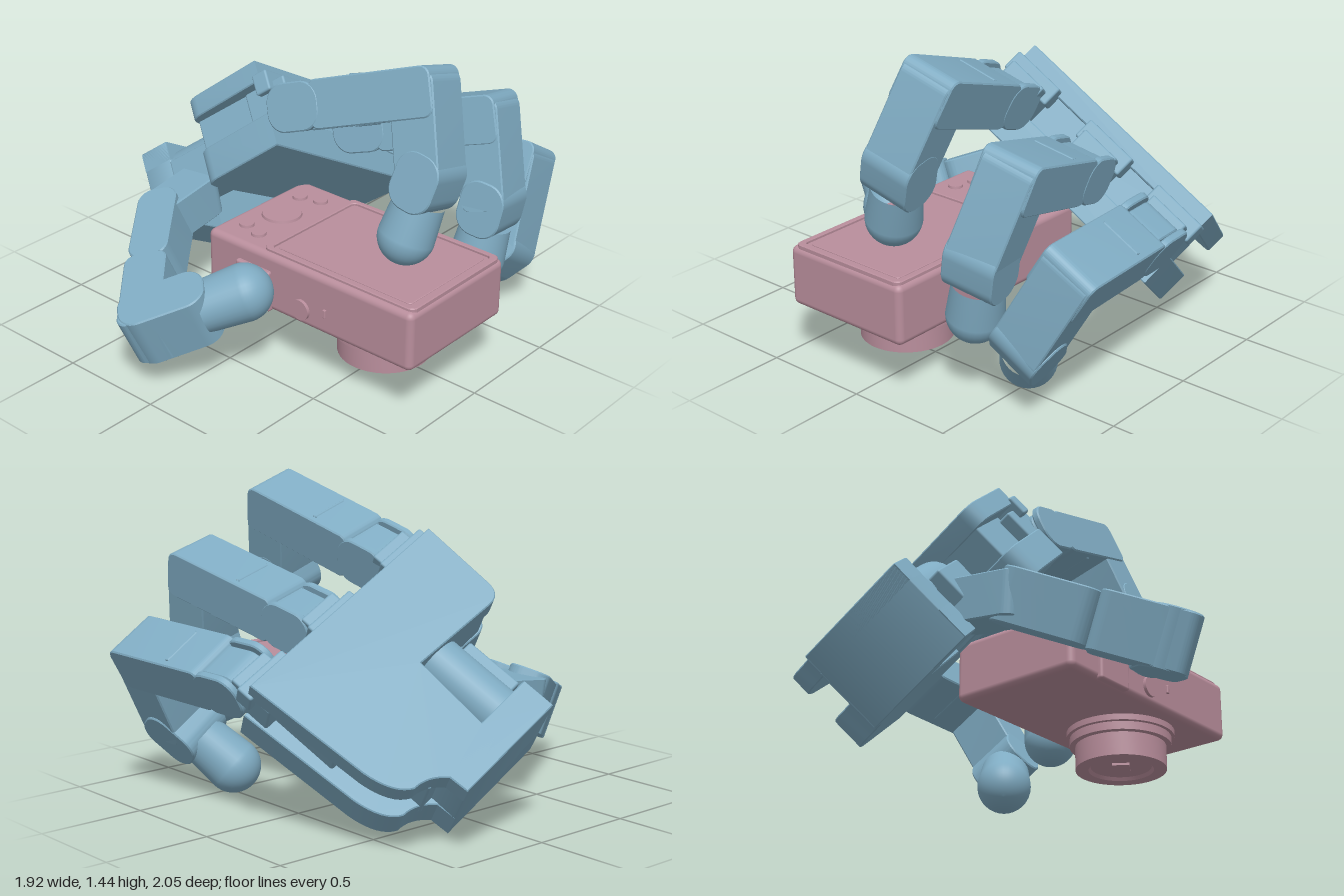
import * as THREE from 'three';
import { toCreasedNormals } from 'three/addons/utils/BufferGeometryUtils.js';
import { RoundedBoxGeometry } from 'three/addons/geometries/RoundedBoxGeometry.js';

const blue = new THREE.MeshStandardMaterial({ color: 0x7fabc2 });
const pink = new THREE.MeshStandardMaterial({ color: 0xb98e9c });
const V = (x, y, z) => new THREE.Vector3(x, y, z);

function add(parent, name, geometry, material, x = 0, y = 0, z = 0) {
  const mesh = new THREE.Mesh(geometry, material);
  mesh.name = name;
  mesh.position.set(x, y, z);
  parent.add(mesh);
  return mesh;
}

function extrude(shape, depth, bevel = 0.01) {
  const geo = new THREE.ExtrudeGeometry(shape, {
    depth: depth - 2 * bevel, bevelEnabled: true, bevelThickness: bevel,
    bevelSize: bevel, bevelOffset: -bevel, bevelSegments: 1, curveSegments: 8,
  });
  return toCreasedNormals(geo.translate(0, 0, bevel), 0.6);
}

function roundedRect(x0, x1, y0, y1, r) {
  const s = new THREE.Shape();
  s.moveTo(x0 + r, y0).lineTo(x1 - r, y0).absarc(x1 - r, y0 + r, r, -Math.PI / 2, 0);
  s.lineTo(x1, y1 - r).absarc(x1 - r, y1 - r, r, 0, Math.PI / 2);
  s.lineTo(x0 + r, y1).absarc(x0 + r, y1 - r, r, Math.PI / 2, Math.PI);
  s.lineTo(x0, y0 + r).absarc(x0 + r, y0 + r, r, Math.PI, Math.PI * 1.5);
  return s;
}

// Orients a mesh so local x runs from a to b and local z follows the hinge axis
function align(mesh, a, b, side) {
  const x = b.clone().sub(a).normalize();
  const z = side.clone().addScaledVector(x, -side.dot(x)).normalize();
  const y = z.clone().cross(x);
  mesh.quaternion.setFromRotationMatrix(new THREE.Matrix4().makeBasis(x, y, z));
  mesh.position.copy(a);
}

// Link between two joints, overrunning them by e0 and e1
function link(parent, name, a, b, side, width, thick, e0, e1, r) {
  const shape = roundedRect(-e0, a.distanceTo(b) + e1, -thick / 2, thick / 2, r);
  const geo = extrude(shape, width, 0.006).translate(0, 0, -width / 2);
  align(add(parent, name, geo, blue), a, b, side);
}

// Boxy shell over the joint, then a round pad emerging from it
function fingertip(parent, a, b, side, r, shell, width) {
  const start = a.clone().lerp(b, shell - 0.12);
  const len = start.distanceTo(b);
  const pts = [new THREE.Vector2(r * 0.9, 0)];
  for (let i = 0; i <= 12; i++) {
    const t = (i / 12) * Math.PI / 2;
    pts.push(new THREE.Vector2(r * Math.cos(t), len + r * Math.sin(t)));
  }
  const pad = new THREE.LatheGeometry(pts, 32).rotateZ(-Math.PI / 2);
  align(add(parent, 'fingertipPad', pad, blue), start, b, side);
  link(parent, 'distalLink', a, a.clone().lerp(b, shell), side, width, 0.215, 0.1, 0, 0.09);
}

function finger(parent, name, [k, p1, p2, tip]) {
  const g = new THREE.Group();
  g.name = name;
  parent.add(g);
  const side = p1.clone().sub(k).cross(tip.clone().sub(p1)).normalize();
  const at = t => k.clone().lerp(p1, t);
  // knuckle with two cheeks
  link(g, 'knuckleLink', k, at(0.3), side, 0.18, 0.18, 0.08, 0, 0.08);
  for (const s of [-1, 1]) {
    const off = side.clone().multiplyScalar(s * 0.115);
    link(g, 'knuckleCheek', k.clone().add(off), at(0.25).add(off), side, 0.035, 0.22, 0.09, 0.02, 0.09);
  }
  // long link with a narrow rib across its back
  link(g, 'proximalLink', at(0.2), p1, side, 0.26, 0.22, 0, 0.1, 0.045);
  link(g, 'backRib', at(0.53), at(0.55), side, 0.2, 0.23, 0, 0, 0.008);
  link(g, 'middleLink', p1, p2, side, 0.245, 0.215, 0.09, 0.05, 0.05);
  fingertip(g, p2, tip, side, 0.127, 0.55, 0.25);
}

function thumb(parent) {
  const g = new THREE.Group();
  g.name = 'thumb';
  parent.add(g);
  const root = V(-0.53, 0.52, 0.14), t0 = V(-0.52, 0.49, 0.37);
  const mid = V(-0.34, 0.39, 0.61), t1 = V(-0.12, 0.29, 0.87), tip = V(0.17, 0.44, 0.58);
  const side = t1.clone().sub(t0).cross(tip.clone().sub(t1)).normalize();
  link(g, 'thumbArm', root, t0, side, 0.2, 0.2, 0.06, 0.06, 0.05);
  link(g, 'thumbBaseLink', t0, mid, side, 0.24, 0.19, 0.07, 0.04, 0.07);
  link(g, 'thumbLongLink', mid, t1, side, 0.26, 0.2, -0.03, 0.1, 0.05);
  fingertip(g, t1, tip, side, 0.13, 0.68, 0.27);
}

// Palm frame: x across the knuckles, y toward the fingers, z from back to palm side
function palm(parent) {
  const g = new THREE.Group();
  g.name = 'palm';
  const across = V(0, -0.487, -0.874), forward = V(0.756, 0.572, -0.319);
  const depth = across.clone().cross(forward);
  g.quaternion.setFromRotationMatrix(new THREE.Matrix4().makeBasis(across, forward, depth));
  g.position.set(-0.96, 0.43, -0.15);
  parent.add(g);

  const plate = new THREE.Shape();
  plate.moveTo(-0.285, 0).lineTo(0.285, 0).lineTo(0.29, 0.09);
  plate.quadraticCurveTo(0.35, 0.16, 0.43, 0.16).quadraticCurveTo(0.51, 0.2, 0.53, 0.35);
  plate.lineTo(0.57, 0.94).lineTo(-0.57, 0.94).lineTo(-0.55, 0.57);
  plate.quadraticCurveTo(-0.54, 0.5, -0.47, 0.5);
  plate.lineTo(-0.03, 0.52).lineTo(0, 0.16).lineTo(-0.285, 0.16).closePath();
  add(g, 'backPlate', extrude(plate, 0.1, 0.005), blue);
  add(g, 'palmPlate', extrude(plate, 0.16, 0.005), blue, 0, 0, 0.26);

  const box = (name, w, h, d, x, y, z) =>
    add(g, name, new RoundedBoxGeometry(w, h, d, 2, 0.01), blue, x, y, z);
  add(g, 'wristBlock', extrude(roundedRect(-0.285, 0.285, 0, 0.16, 0.005), 0.42, 0.004), blue);
  box('palmCore', 0.98, 0.36, 0.24, 0, 0.69, 0.2);
  box('palmSpine', 0.34, 0.5, 0.24, 0.18, 0.38, 0.2);
  // thumb barrel in the notch
  add(g, 'thumbBarrel', new THREE.CylinderGeometry(0.12, 0.12, 0.37, 28), blue, -0.16, 0.335, 0.15);
  box('thumbCarrier', 0.2, 0.28, 0.2, -0.24, 0.33, 0.23);
  // knuckle mounts
  for (const x of [-0.45, 0.02, 0.45]) {
    box('knuckleMount', 0.2, 0.22, 0.16, x, 0.94, 0.2);
    box('knuckleStep', 0.27, 0.08, 0.1, x, 0.95, 0.12);
  }
}

function camera(parent) {
  const g = new THREE.Group();
  g.name = 'compactCamera';
  parent.add(g);
  const cyl = (name, r0, r1, h, x, y, z) =>
    add(g, name, new THREE.CylinderGeometry(r0, r1, h, 48), pink, x, y, z);
  add(g, 'body', new RoundedBoxGeometry(1.16, 0.28, 0.65, 4, 0.03), pink, 0.38, 0.42, 0.095);
  // framed display, lying in the xz plane
  const rim = roundedRect(0.115, 0.95, -0.395, 0.215, 0.03);
  rim.holes.push(roundedRect(0.145, 0.92, -0.37, 0.19, 0.025));
  add(g, 'displayRim', extrude(rim, 0.03, 0.004).rotateX(-Math.PI / 2), pink, 0, 0.543, 0);
  const glass = roundedRect(0.165, 0.9, -0.35, 0.17, 0.01);
  add(g, 'display', extrude(glass, 0.02, 0.003).rotateX(-Math.PI / 2), pink, 0, 0.545, 0);
  // control dial and buttons
  cyl('dial', 0.09, 0.095, 0.02, -0.04, 0.562, 0.1);
  for (const [x, z] of [[-0.09, 0.28], [0.01, 0.31], [-0.09, -0.08], [0.01, -0.11]])
    cyl('button', 0.033, 0.036, 0.02, x, 0.562, z);
  // shutter button, switch and grip on the front edge
  cyl('shutterButton', 0.048, 0.048, 0.03, 0.36, 0.36, 0.42).rotation.x = Math.PI / 2;
  add(g, 'switch', new RoundedBoxGeometry(0.016, 0.04, 0.02, 2, 0.004), pink, 0.495, 0.39, 0.42);
  add(g, 'grip', new RoundedBoxGeometry(0.2, 0.2, 0.04, 2, 0.012), pink, 0.085, 0.38, 0.42);
  // stepped lens barrel with a recessed front
  const steps = [[0.25, 0.3], [0.25, 0.252], [0.235, 0.25], [0.235, 0.212],
    [0.21, 0.21], [0.21, 0.1], [0.15, 0.1], [0.14, 0.115], [0, 0.115]];
  const lens = new THREE.LatheGeometry(steps.map(p => new THREE.Vector2(...p)).reverse(), 48);
  add(g, 'lensBarrel', toCreasedNormals(lens, 0.5), pink, 0.57, 0, 0.1);
  const shutter = add(g, 'lensShutter', new THREE.BoxGeometry(0.11, 0.015, 0.08), pink, 0.57, 0.112, 0.1);
  shutter.rotation.y = 0.6;
}

export function createModel() {
  const model = new THREE.Group();
  model.name = 'robotHandWithCamera';
  palm(model);
  finger(model, 'indexFinger', [V(0, 1.08, 0.02), V(0.6, 1.285, -0.1), V(0.71, 0.97, -0.01), V(0.66, 0.69, 0.08)]);
  finger(model, 'middleFinger', [V(0.01, 0.84, -0.41), V(0.61, 1.02, -0.55), V(0.72, 0.68, -0.47), V(0.69, 0.4, -0.41)]);
  finger(model, 'outerFinger', [V(0, 0.65, -0.79), V(0.61, 0.67, -0.85), V(0.66, 0.34, -0.67), V(0.46, 0.125, -0.51)]);
  thumb(model);
  camera(model);
  return model;
}
